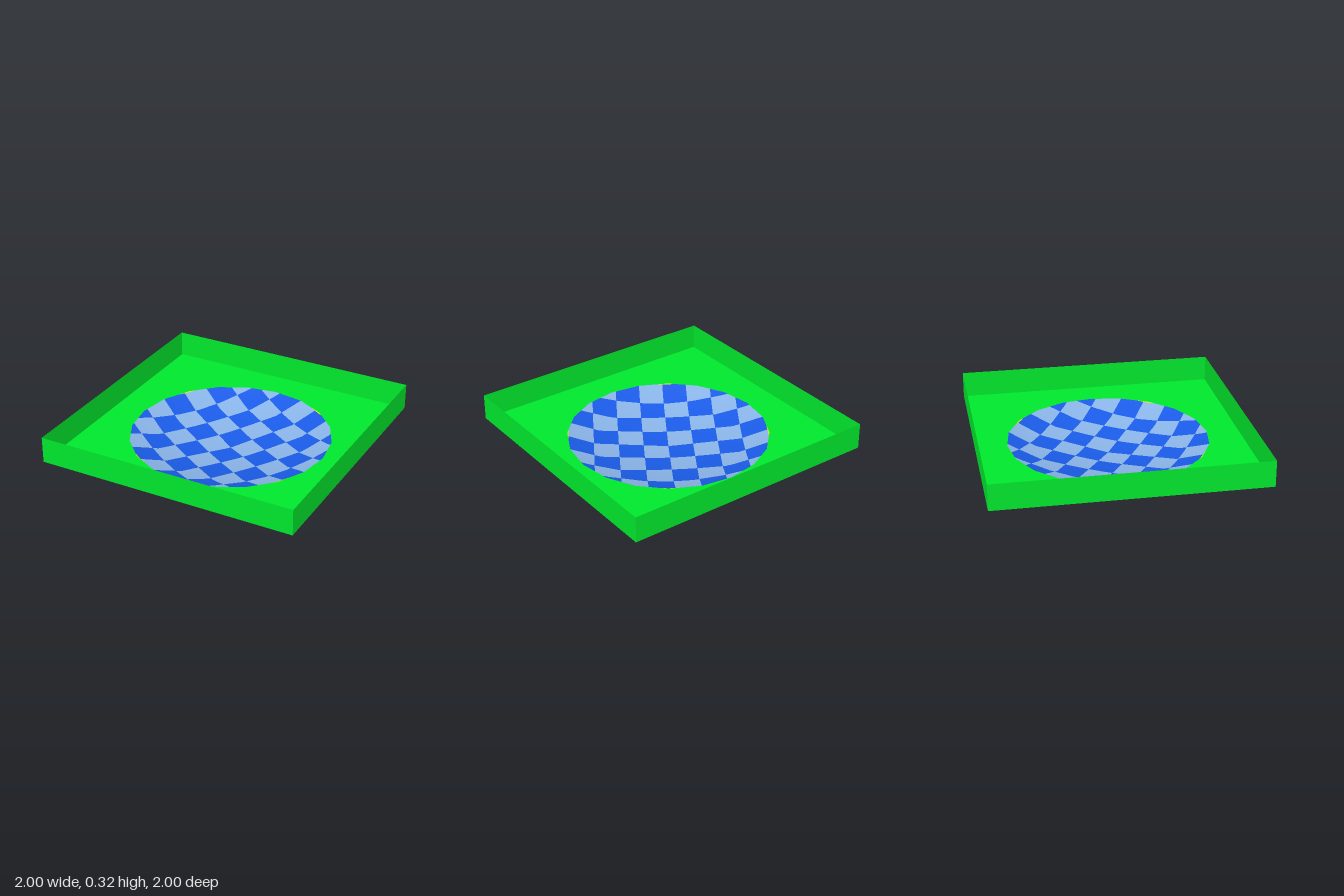
import * as THREE from 'three';

const SIDES = 20, RIM = 0.76, RIM_Y = 0.12, BEND = 0.55, BEND_Y = 0.045, TOP_Y = 0.32;
const CELL = 0.187, HALF = 4, TURN = 32.5 * Math.PI / 180;
const apothem = Math.cos(Math.PI / SIDES);

const mat = (name, color) => {
  const m = new THREE.MeshStandardMaterial({ color, side: THREE.DoubleSide });
  m.name = name;
  return m;
};

// Keep the part of a plan polygon where a*x + b*z <= c
function clip(poly, a, b, c) {
  const out = [];
  poly.forEach((p, i) => {
    const q = poly[(i + 1) % poly.length];
    const dp = a * p[0] + b * p[1] - c, dq = a * q[0] + b * q[1] - c;
    if (dp <= 0) out.push(p);
    if (dp * dq < 0) {
      const t = dp / (dp - dq);
      out.push([p[0] + t * (q[0] - p[0]), p[1] + t * (q[1] - p[1])]);
    }
  });
  return out;
}

// Project one tile of the pattern onto every facet of the shallow dish
function addTile(tile, target) {
  for (let k = 0; k < SIDES; k++) {
    const a0 = k * 2 * Math.PI / SIDES, a1 = (k + 1) * 2 * Math.PI / SIDES, mid = (a0 + a1) / 2;
    const cx = Math.cos(mid), cz = Math.sin(mid);
    let wedge = clip(tile, Math.sin(a0), -Math.cos(a0), 0);
    wedge = clip(wedge, -Math.sin(a1), Math.cos(a1), 0);
    wedge = clip(wedge, cx, cz, RIM * apothem);
    const inner = clip(wedge, cx, cz, BEND * apothem);
    const outer = clip(wedge, -cx, -cz, -BEND * apothem);
    [inner, outer].forEach((poly, ring) => {
      const pts = poly.map(([x, z]) => {
        const r = (x * cx + z * cz) / apothem;
        const y = ring ? BEND_Y + (RIM_Y - BEND_Y) * (r - BEND) / (RIM - BEND) : BEND_Y * r / BEND;
        return [x, y, z];
      });
      for (let i = 1; i + 1 < pts.length; i++) target.push(...pts[0], ...pts[i], ...pts[i + 1]);
    });
  }
}

// Smooth bowl normals, tilting inwards with distance from the centre
function bowlNormals(positions) {
  const normals = [];
  for (let i = 0; i < positions.length; i += 3) {
    const n = new THREE.Vector3(-0.45 * positions[i], 1, -0.45 * positions[i + 2]).normalize();
    normals.push(n.x, n.y, n.z);
  }
  return normals;
}

export function createModel() {
  const group = new THREE.Group();
  const green = mat('green', 0x00e72c);
  const add = (name, geometry, material) => {
    const m = new THREE.Mesh(geometry, material);
    m.name = name;
    group.add(m);
  };

  // Square floor with a faceted round opening
  const floor = new THREE.Shape([[-1, -1], [1, -1], [1, 1], [-1, 1]].map(p => new THREE.Vector2(...p)));
  const ring = [];
  for (let k = 0; k < SIDES; k++) {
    const a = -k * 2 * Math.PI / SIDES;
    ring.push(new THREE.Vector2(RIM * Math.cos(a), RIM * Math.sin(a)));
  }
  floor.holes.push(new THREE.Path(ring));
  add('trayFloor', new THREE.ShapeGeometry(floor).rotateX(-Math.PI / 2).translate(0, RIM_Y, 0), green);

  // Four thin tray walls
  ['front', 'left', 'back', 'right'].forEach((side, i) => {
    const wall = new THREE.PlaneGeometry(2, TOP_Y - RIM_Y).translate(0, (TOP_Y + RIM_Y) / 2, 1);
    add(side + 'Wall', wall.rotateY(i * Math.PI / 2), green);
  });

  // Chequered dish: eight tiles across, with a thin yellow edge beyond them
  const c = Math.cos(TURN), s = Math.sin(TURN);
  const dish = { light: [], blue: [], yellow: [] };
  for (let i = -HALF - 1; i <= HALF; i++) {
    for (let j = -HALF - 1; j <= HALF; j++) {
      const tile = [[0, 0], [1, 0], [1, 1], [0, 1]].map(([du, dv]) => {
        const u = (i + du) * CELL, v = (j + dv) * CELL;
        return [u * c + v * s, u * s - v * c];
      });
      const border = [i, j].some(n => n < -HALF || n >= HALF);
      addTile(tile, border ? dish.yellow : (i + j) % 2 ? dish.blue : dish.light);
    }
  }
  const colors = { light: 0x8ab5e9, blue: 0x1c60f3, yellow: 0xd8e800 };
  for (const key in dish) {
    const g = new THREE.BufferGeometry();
    g.setAttribute('position', new THREE.Float32BufferAttribute(dish[key], 3));
    g.setAttribute('normal', new THREE.Float32BufferAttribute(bowlNormals(dish[key]), 3));
    add(key + 'DishTiles', g, mat(key, colors[key]));
  }
  return group;
}
